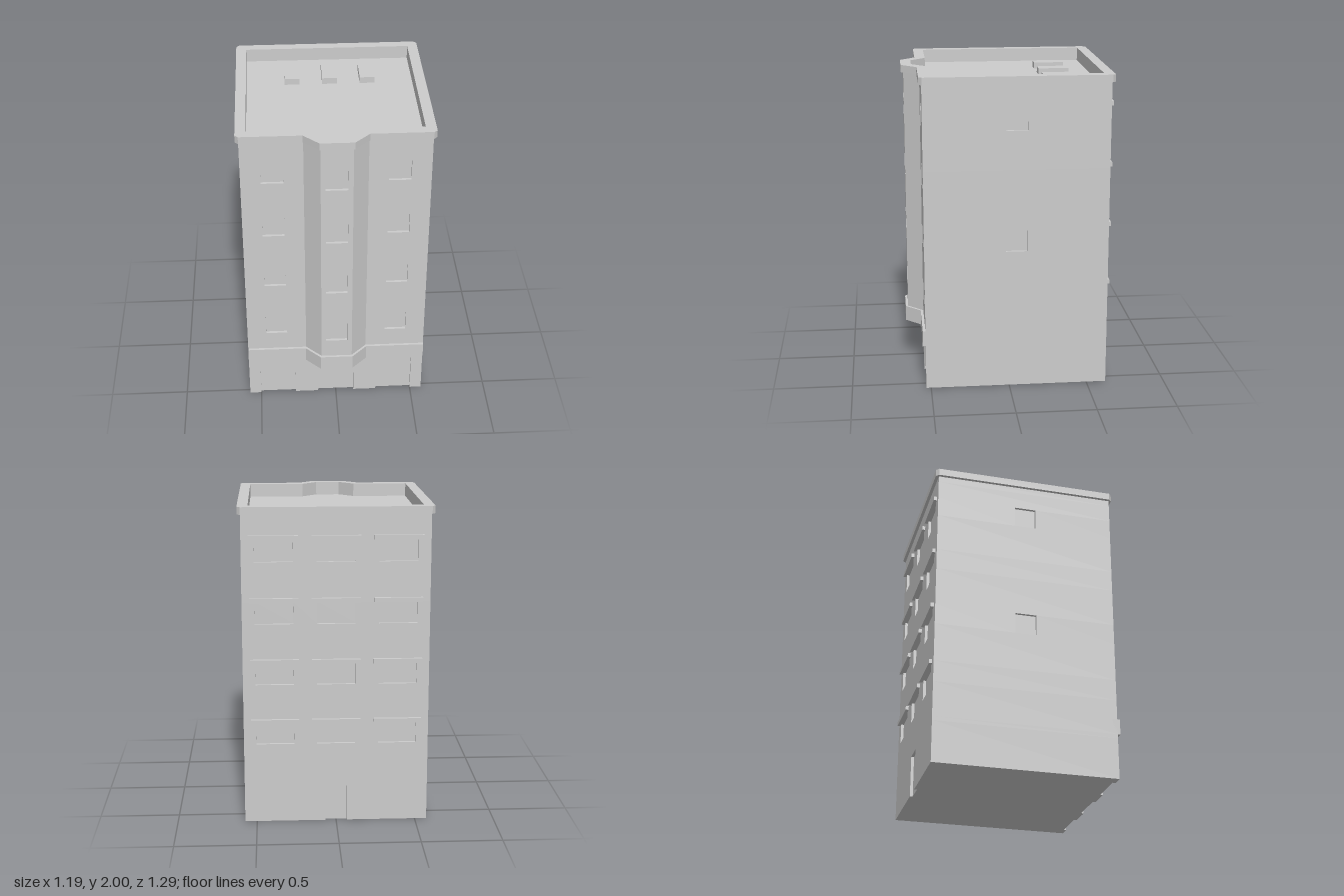
import * as THREE from 'three';

const HX = 0.575, ZF = 0.53, ZB = -0.625; // wall planes
const BAY = 0.195, NOSE = 0.098;          // half widths of the bay at root and face
const RECESS = 0.018, ROOF = 1.915;
const FLOORS = [0.512, 0.896, 1.28, 1.664], WIN = 0.136;

export function createModel() {
  const model = new THREE.Group();
  model.name = 'apartmentBuilding';
  const material = new THREE.MeshStandardMaterial({ color: 0xcccccc, flatShading: true });

  const add = (name, geometry, parent = model) => {
    const mesh = new THREE.Mesh(geometry, material);
    mesh.name = name;
    parent.add(mesh);
    return mesh;
  };
  const box = (name, w, h, d, x, y, z) =>
    add(name, new THREE.BoxGeometry(w, h, d)).position.set(x, y, z);

  // Extrude a plan outline of [x, z] points from y0 up to y1
  const toPoints = (plan) => plan.map(([x, z]) => new THREE.Vector2(x, -z));
  const slab = (name, plan, y0, y1, hole, parent) => {
    const shape = new THREE.Shape(toPoints(plan));
    if (hole) shape.holes.push(new THREE.Path(toPoints(hole)));
    const g = new THREE.ExtrudeGeometry(shape, { depth: y1 - y0, bevelEnabled: false });
    g.rotateX(-Math.PI / 2).translate(0, y0, 0);
    add(name, g, parent);
  };

  // One wall of a plan, with recesses given as [offset from wall centre, width]
  const wall = ([x0, z0], [x1, z1], openings = []) => {
    const len = Math.hypot(x1 - x0, z1 - z0);
    const ux = (x1 - x0) / len, uz = (z1 - z0) / len;
    const at = (s, d) => [x0 + ux * s + uz * d, z0 + uz * s - ux * d];
    const pts = [[x0, z0]];
    for (const [c, w] of openings) {
      const a = len / 2 + c - w / 2, b = a + w;
      pts.push(at(a, 0), at(a, RECESS), at(b, RECESS), at(b, 0));
    }
    return pts;
  };

  const sidesAndBack = (side, back) => [
    ...wall([HX, ZF], [HX, ZB], side),
    ...wall([HX, ZB], [-HX, ZB], back),
    ...wall([-HX, ZB], [-HX, ZF], side),
  ];
  const groundPlan = (doors, backDoor) => [
    ...wall([-HX, ZF], [HX, ZF], doors),
    ...sidesAndBack([], backDoor),
  ];
  const upperPlan = (front = [], side = [], back = []) => [
    ...wall([-HX, ZF], [-BAY, ZF], front),
    [-BAY, ZF],
    ...wall([-NOSE, 0.627], [NOSE, 0.627], front),
    [NOSE, 0.627],
    ...wall([BAY, ZF], [HX, ZF], front),
    ...sidesAndBack(side, back),
  ];

  // Building body in storey layers
  const body = new THREE.Group();
  body.name = 'body';
  model.add(body);
  const shopDoors = [[-0.384, 0.233], [0, 0.237], [0.384, 0.233]];
  slab('groundFloor', groundPlan(shopDoors, [[0, 0.137]]), 0, 0.262, null, body);
  slab('lintel', groundPlan([], []), 0.262, 0.288, null, body);
  let y = 0.288;
  FLOORS.forEach((sill, i) => {
    const win = [[0, WIN]];
    const backWins = [[-0.38, 0.237], [0, 0.237], [0.38, 0.237]];
    slab('solidStorey', upperPlan(), y, sill, null, body);
    y = sill + WIN;
    slab('windowStorey', upperPlan(win, i % 2 ? win : [], backWins), sill, y, null, body);
  });
  slab('topStorey', upperPlan(), y, ROOF, null, body);

  // Parapet wall and overhanging coping
  const inner = [[-0.53, 0.48], [-0.173, 0.48], [-0.077, 0.577], [0.077, 0.577],
    [0.173, 0.48], [0.53, 0.48], [0.53, -0.58], [-0.53, -0.58]];
  slab('parapet', upperPlan(), ROOF, 1.954, inner);
  const right = [[0.103, 0.643], [0.198, 0.547], [0.575, 0.547], [0.595, 0.527],
    [0.595, -0.625], [0.575, -0.645]];
  const left = right.map(([x, z]) => [-x, z]).reverse();
  slab('coping', [...right, ...left], 1.954, 2, inner);

  // Band above the shop fronts, following the bay
  slab('frontBand', [[-HX, 0.5], [-HX, 0.547], [-0.198, 0.547], [-0.103, 0.643],
    [0.103, 0.643], [0.198, 0.547], [HX, 0.547], [HX, 0.5]], 0.288, 0.386);

  // Rear window ledges and roof vents
  for (const x of [-0.38, 0, 0.38])
    for (const sill of FLOORS)
      box('windowLedge', 0.3, 0.027, 0.04, x, sill + WIN + 0.0135, ZB);
  for (const x of [-0.24, 0, 0.24])
    box('roofVent', 0.095, 0.04, 0.193, x, ROOF + 0.02, -0.338);

  return model;
}
